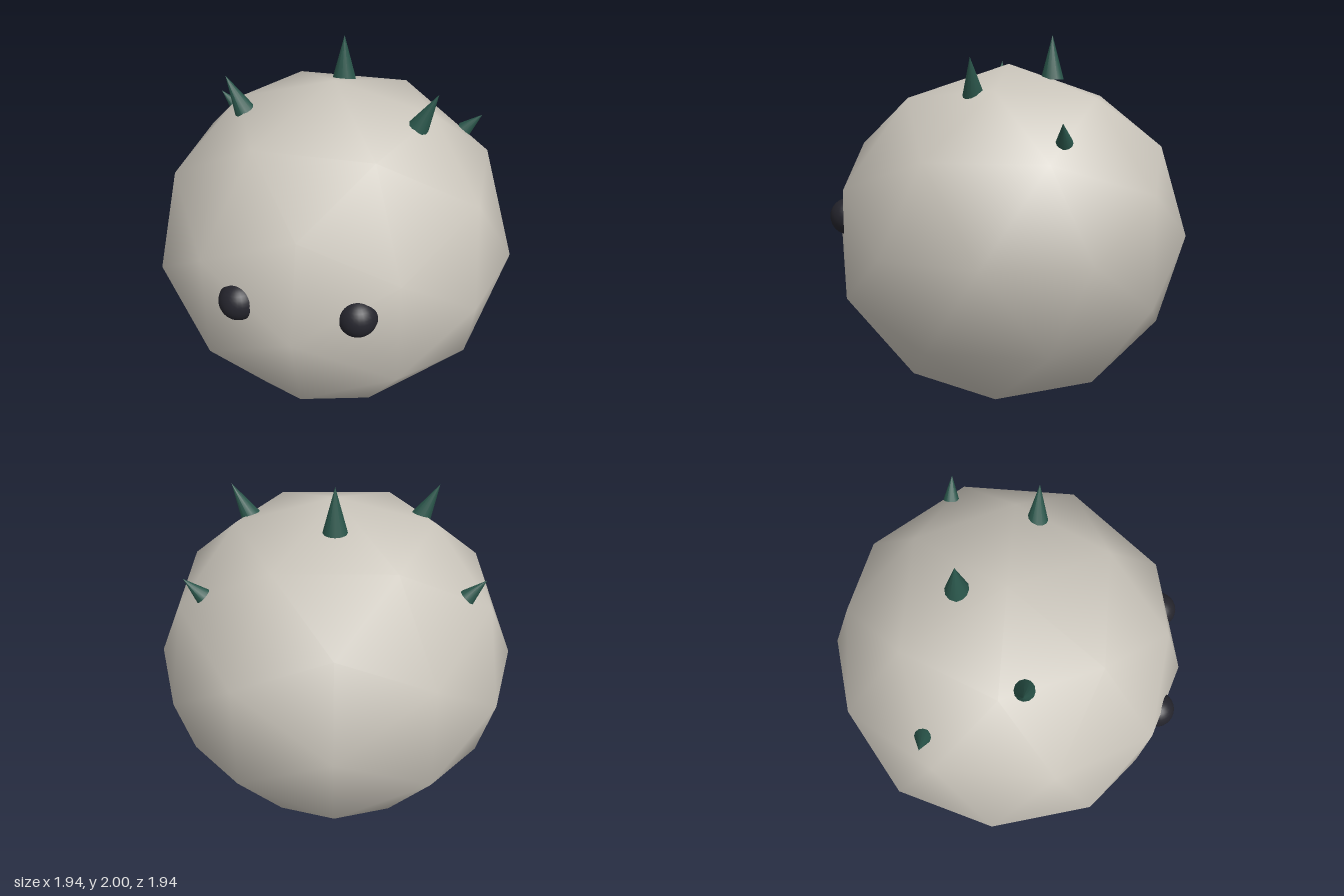
import * as THREE from 'three';

const mat = (name, color) => {
  const m = new THREE.MeshStandardMaterial({ color });
  m.name = name;
  return m;
};

export function createModel() {
  const stone = mat('warm grey', 0xcac5bb);
  const dark = mat('near black', 0x24242c);
  const green = mat('deep green', 0x2a564b);

  const model = new THREE.Group();
  model.name = 'spikyBall';

  const add = (name, geometry, material) => {
    const mesh = new THREE.Mesh(geometry, material);
    mesh.name = name;
    model.add(mesh);
    return mesh;
  };

  // Body: coarse icosphere with smooth normals, slightly squashed
  const body = add('body', new THREE.IcosahedronGeometry(1, 1), stone);
  body.scale.set(0.97, 0.922, 0.97);
  body.position.y = 0.926;

  // Spike: a cone given by its tip, leaning sideways by an angle
  const spike = (name, tip, lean, radius, length) => {
    const geometry = new THREE.ConeGeometry(radius, length, 12);
    geometry.translate(0, -length / 2, 0);
    const mesh = add(name, geometry, green);
    mesh.position.set(...tip);
    mesh.rotation.z = -lean;
  };

  spike('crownSpike', [0, 2, -0.235], 0, 0.062, 0.235);

  for (const [side, s] of [['left', 1], ['right', -1]]) {
    // Eyes, half sunk into the body
    const eye = add(side + 'Eye', new THREE.SphereGeometry(1, 24, 16), dark);
    eye.scale.set(0.097, 0.098, 0.097);
    eye.position.set(s * 0.29, 1.043, 0.827);

    // Outward-leaning spikes
    spike(side + 'FrontSpike', [s * 0.535, 1.873, 0.115], s * 0.46, 0.06, 0.225);
    spike(side + 'SideSpike', [s * 0.737, 1.57, -0.35], s * 0.75, 0.043, 0.132);
  }

  return model;
}
